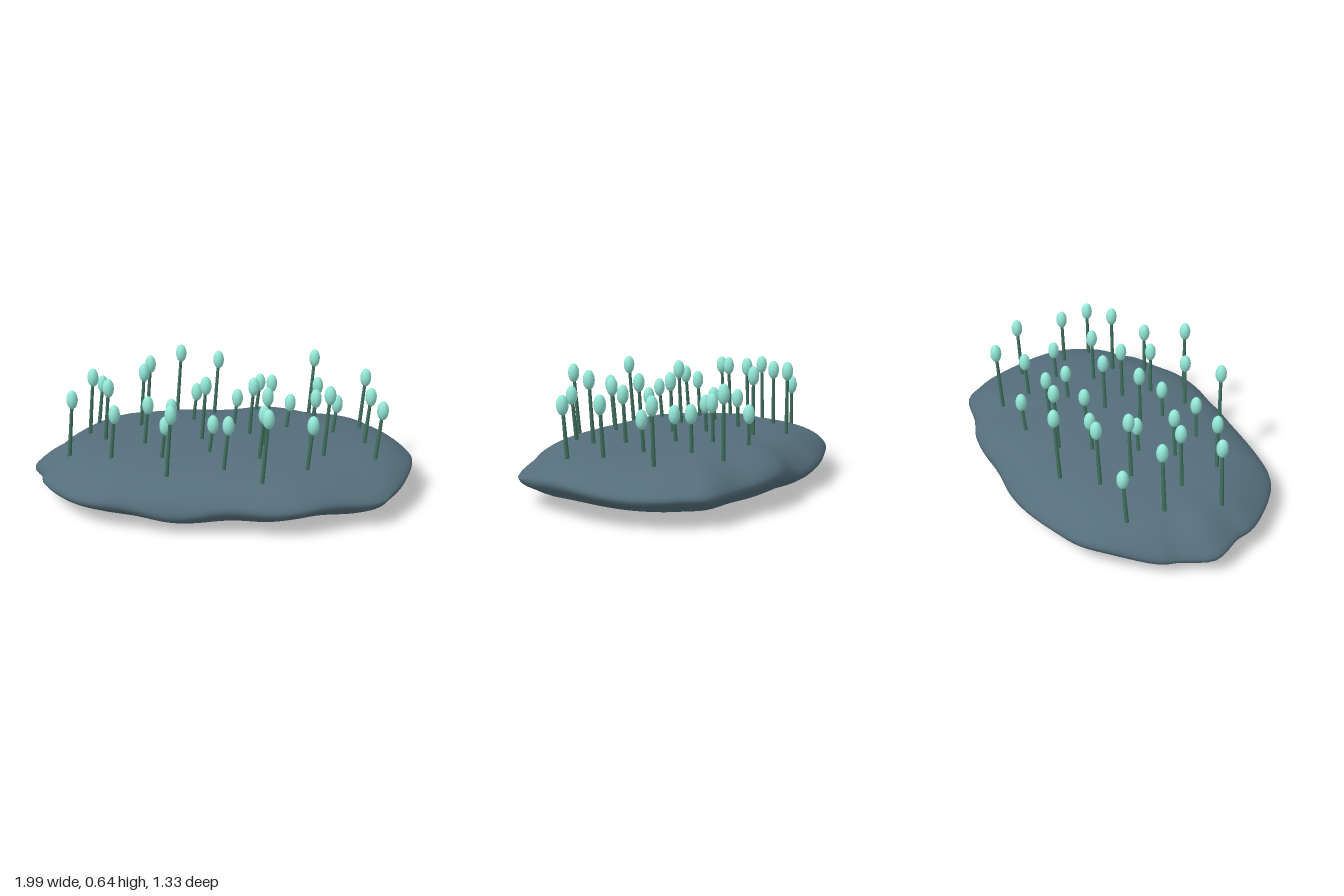
import * as THREE from 'three';

// Back half of the slab outline [x, z]; mirrored for the front half
const OUTLINE = [
  [-1, 0], [-0.93, -0.16], [-0.905, -0.25], [-0.77, -0.43], [-0.64, -0.54], [-0.45, -0.6], [-0.26, -0.645],
  [-0.1, -0.655], [0.085, -0.65], [0.27, -0.665], [0.41, -0.64], [0.57, -0.575], [0.78, -0.52],
  [0.85, -0.435], [0.92, -0.33], [0.98, -0.16], [1, 0],
];

// Slab section from top centre over the rim to bottom centre: [share of outline, y]
const SECTION = [
  [0, 0.302], [0.25, 0.3], [0.5, 0.288], [0.66, 0.274], [0.78, 0.255], [0.87, 0.228], [0.93, 0.2], [0.975, 0.17],
  [1, 0.14], [0.985, 0.112], [0.94, 0.088], [0.87, 0.06], [0.76, 0.036], [0.6, 0.017], [0.4, 0.01], [0.2, 0.008], [0, 0.007],
];

// Head centres: [x, y, z]
const HEADS = [
  [-0.24, 0.595, -0.47], [0.2, 0.435, -0.45], [0.5, 0.575, -0.455], [-0.03, 0.59, -0.37], [-0.665, 0.46, -0.325],
  [-0.4, 0.575, -0.325], [0.26, 0.485, -0.28], [0.51, 0.47, -0.29], [-0.145, 0.45, -0.23], [0.76, 0.54, -0.22],
  [-0.69, 0.56, -0.13], [-0.42, 0.58, -0.16], [0.075, 0.445, -0.15], [0.355, 0.43, -0.12], [0.6, 0.44, -0.075],
  [-0.27, 0.43, -0.03], [0.16, 0.56, 0.005], [-0.59, 0.555, 0.03], [0.76, 0.525, 0.055], [-0.085, 0.59, 0.085],
  [-0.38, 0.495, 0.12], [0.475, 0.53, 0.1], [0.23, 0.555, 0.15], [-0.76, 0.535, 0.155], [-0.045, 0.44, 0.245],
  [-0.535, 0.5, 0.275], [-0.28, 0.455, 0.31], [0.21, 0.52, 0.32], [0.535, 0.6, 0.255], [0.8, 0.515, 0.235],
  [-0.24, 0.575, 0.48], [0.035, 0.505, 0.435], [0.445, 0.5, 0.415], [0.225, 0.58, 0.545],
];

function slabGeometry(segments = 128) {
  const front = OUTLINE.slice(1, -1).reverse().map(([x, z]) => [x, -z]);
  const rim = new THREE.CatmullRomCurve3([...OUTLINE, ...front].map(([x, z]) => new THREE.Vector3(x, 0, z)), true);
  const profile = new THREE.CatmullRomCurve3(SECTION.map(([f, y]) => new THREE.Vector3(f, y, 0)));
  const rows = (SECTION.length - 1) * 2;
  const positions = [], index = [];
  for (let i = 0; i <= rows; i++) {
    const { x: f, y: level } = profile.getPoint(i / rows);
    for (let j = 0; j < segments; j++) {
      const p = rim.getPoint(j / segments);
      const a = Math.atan2(p.z, p.x);
      const edge = Math.max(0, f) ** 5;
      // Rim rises towards +x and wavers; broad lumps and one hollow break up the faces
      let y = level + edge * (0.02 * p.x + 0.012 * Math.sin(5 * a + 1) + 0.008 * Math.sin(9 * a));
      const x = p.x * f, z = p.z * f;
      y += 0.004 * f * Math.sin(7 * x + 2) * Math.cos(6 * z);
      if (level > 0.14) y -= 0.03 * Math.exp(-(((x - 0.7) / 0.13) ** 2) - ((z - 0.45) / 0.06) ** 2);
      const bulge = 1 + 0.012 * edge * Math.sin(4 * a + 25 * level);
      positions.push(Math.max(-1, Math.min(1, x * bulge)), Math.max(0.002, y), z * bulge);
    }
  }
  for (let i = 0; i < rows; i++) {
    for (let j = 0; j < segments; j++) {
      const k = (j + 1) % segments;
      const a = i * segments + j, b = a + segments, c = i * segments + k, d = c + segments;
      if (i < rows - 1) index.push(a, d, b);
      if (i > 0) index.push(a, c, d);
    }
  }
  const geometry = new THREE.BufferGeometry();
  geometry.setAttribute('position', new THREE.Float32BufferAttribute(positions, 3));
  geometry.setIndex(index);
  geometry.computeVertexNormals();
  // Pole vertices share one direction
  const normal = geometry.attributes.normal;
  for (let j = 0; j < segments; j++) {
    normal.setXYZ(j, 0, 1, 0);
    normal.setXYZ(rows * segments + j, 0, -1, 0);
  }
  return geometry;
}

export function createModel() {
  const model = new THREE.Group();
  const rockMaterial = new THREE.MeshStandardMaterial({ color: 0x546e7a });
  const stalkMaterial = new THREE.MeshStandardMaterial({ color: 0x3f705c });
  const headMaterial = new THREE.MeshStandardMaterial({ color: 0x94e8d8 });

  const rock = new THREE.Mesh(slabGeometry(), rockMaterial);
  rock.name = 'rockSlab';
  model.add(rock);

  // Slim stalks leaning slightly to +x, each with an egg-shaped head
  const stalkGeometry = new THREE.CylinderGeometry(0.008, 0.011, 1, 10);
  const headGeometry = new THREE.SphereGeometry(1, 24, 16).scale(0.029, 0.049, 0.029);
  const up = new THREE.Vector3(0, 1, 0);
  HEADS.forEach(([x, y, z]) => {
    const sprout = new THREE.Group();
    sprout.name = 'sprout';
    const top = new THREE.Vector3(x, y, z);
    const base = new THREE.Vector3(x - 0.03, 0.2, z * 0.97);
    const axis = top.clone().sub(base);
    const stalk = new THREE.Mesh(stalkGeometry, stalkMaterial);
    stalk.name = 'stalk';
    stalk.position.copy(base).lerp(top, 0.5);
    stalk.scale.y = axis.length();
    stalk.quaternion.setFromUnitVectors(up, axis.normalize());
    const head = new THREE.Mesh(headGeometry, headMaterial);
    head.name = 'head';
    head.position.copy(top);
    sprout.add(stalk, head);
    model.add(sprout);
  });
  return model;
}
